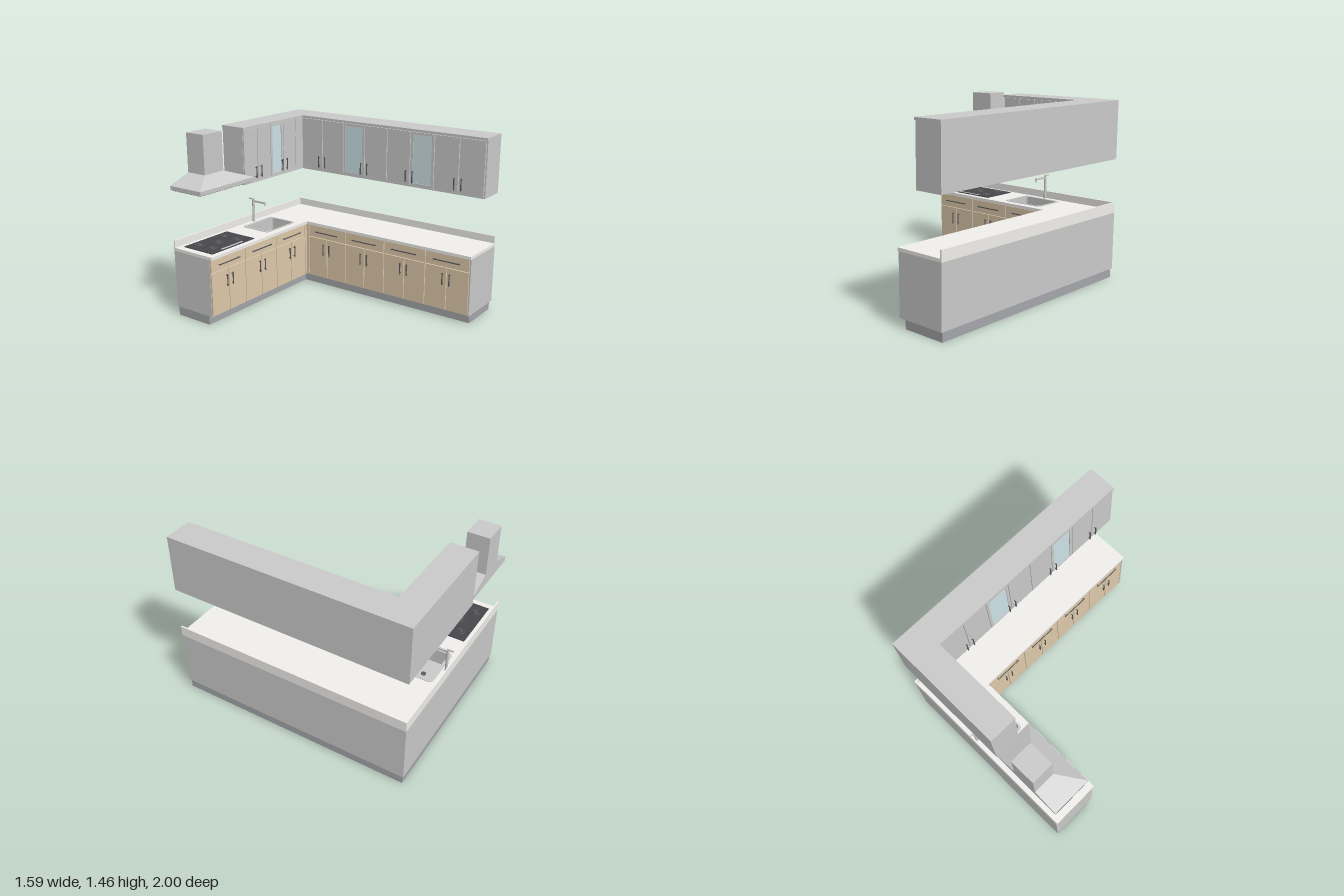
import * as THREE from 'three';

const mat = (color, extra = {}) => new THREE.MeshStandardMaterial({ color, ...extra });
const GREY = mat(0xcccccc), WOOD = mat(0xe0cbac), STONE = mat(0xf2f1ee), KICK = mat(0xa6a7ab);
const DARK = mat(0x5c5c5e), BLACK = mat(0x48484c), GLASS = mat(0xd0e4ea);

function add(parent, name, geometry, material = GREY) {
  const mesh = new THREE.Mesh(geometry, material);
  mesh.name = name;
  parent.add(mesh);
  return mesh;
}

// Box given by its limits on each axis
function box(parent, name, x0, x1, y0, y1, z0, z1, material) {
  const g = new THREE.BoxGeometry(x1 - x0, y1 - y0, z1 - z0);
  g.translate((x0 + x1) / 2, (y0 + y1) / 2, (z0 + z1) / 2);
  return add(parent, name, g, material);
}

// Rounded rectangle in plan, drawn with y = -z
function roundRect(x0, x1, z0, z1, r, Type = THREE.Shape) {
  const s = new Type();
  s.absarc(x1 - r, -z0 - r, r, 0, Math.PI / 2);
  s.absarc(x0 + r, -z0 - r, r, Math.PI / 2, Math.PI);
  s.absarc(x0 + r, -z1 + r, r, Math.PI, Math.PI * 1.5);
  s.absarc(x1 - r, -z1 + r, r, Math.PI * 1.5, Math.PI * 2);
  s.closePath();
  return s;
}

// Plan outline raised from y0 to y1
function slab(parent, name, shape, y0, y1, material) {
  const g = new THREE.ExtrudeGeometry(shape, { depth: y1 - y0, bevelEnabled: false, curveSegments: 6 });
  g.rotateX(-Math.PI / 2).translate(0, y0, 0);
  return add(parent, name, g, material);
}

// L-shaped plan: back run from x0 to x1, right run from xi to x1
function lShape(x0, xi, x1, zBack, zi, zFront) {
  return new THREE.Shape([[x0, zBack], [x0, zi], [xi, zi], [xi, zFront], [x1, zFront], [x1, zBack]]
    .map(([x, z]) => new THREE.Vector2(x, -z)));
}

// Bar handle on two posts, standing off a front at z
function handle(parent, x, y, length, z, vertical) {
  const g = new THREE.Group();
  g.name = 'handle';
  box(g, 'handleBar', -length / 2, length / 2, -0.004, 0.004, 0.012, 0.018, DARK);
  for (const s of [-1, 1]) {
    const p = s * (length / 2 - 0.012);
    box(g, 'handlePost', p - 0.003, p + 0.003, -0.003, 0.003, 0, 0.013, DARK);
  }
  if (vertical) g.rotation.z = Math.PI / 2;
  g.position.set(x, y, z);
  parent.add(g);
}

const GAP = 0.003, THICK = 0.014;
function panel(parent, name, x0, x1, y0, y1, z, material) {
  box(parent, name, x0 + GAP, x1 - GAP, y0 + GAP, y1 - GAP, z, z + THICK, material);
}

// Base unit: one drawer above two doors
function baseUnit(parent, x0, x1, z) {
  const c = (x0 + x1) / 2;
  panel(parent, 'drawerFront', x0, x1, 0.435, 0.544, z, WOOD);
  handle(parent, c, 0.49, 0.235, z + THICK, false);
  panel(parent, 'baseDoor', x0, c, 0.078, 0.435, z, WOOD);
  panel(parent, 'baseDoor', c, x1, 0.078, 0.435, z, WOOD);
  for (const s of [-1, 1]) handle(parent, c + s * 0.031, 0.34, 0.1, z + THICK, true);
}

// Wall door, plain or glazed; side tells which edge holds the handle
function wallDoor(parent, x0, x1, z, side, glazed) {
  const y0 = 0.995, y1 = 1.435, f = 0.025;
  if (glazed) {
    panel(parent, 'doorStile', x0, x0 + f + GAP, y0, y1, z);
    panel(parent, 'doorStile', x1 - f - GAP, x1, y0, y1, z);
    for (const y of [y0, y1 - f]) box(parent, 'doorRail', x0 + f, x1 - f, y + GAP, y + f - GAP, z, z + THICK);
    box(parent, 'glassPane', x0 + f, x1 - f, y0 + f - GAP, y1 - f + GAP, z + 0.003, z + 0.008, GLASS);
  } else panel(parent, 'wallDoor', x0, x1, y0, y1, z);
  handle(parent, side > 0 ? x1 - 0.031 : x0 + 0.031, 1.07, 0.1, z + THICK, true);
}

function buildBase(root) {
  const g = new THREE.Group();
  g.name = 'baseCabinets';
  root.add(g);
  const sinkHole = () => roundRect(-0.062, 0.277, -0.902, -0.65, 0.03, THREE.Path);

  slab(g, 'plinth', lShape(-0.79, 0.43, 0.78, -0.975, -0.64, 0.985), 0, 0.075, KICK);
  const carcass = lShape(-0.795, 0.4, 0.79, -0.985, -0.605, 1);
  carcass.holes.push(sinkHole());
  slab(g, 'baseCarcass', carcass, 0.075, 0.545);
  const top = lShape(-0.797, 0.375, 0.79, -0.985, -0.58, 1);
  top.holes.push(sinkHole());
  slab(g, 'countertop', top, 0.545, 0.57, STONE);
  slab(g, 'backsplash', lShape(-0.797, 0.778, 0.79, -0.985, -0.973, 1), 0.57, 0.63, STONE);

  // Back run fronts
  for (let i = 0; i < 3; i++) baseUnit(g, -0.795 + i * 0.385, -0.41 + i * 0.385, -0.605);
  panel(g, 'cornerFiller', 0.36, 0.4, 0.078, 0.544, -0.605, WOOD);

  // Right run fronts, turned to face -x
  const side = new THREE.Group();
  side.name = 'sideFronts';
  side.rotation.y = -Math.PI / 2;
  g.add(side);
  for (let i = 0; i < 4; i++) baseUnit(side, -0.565 + i * 0.388, -0.177 + i * 0.388, -0.4);
  panel(side, 'cornerFiller', -0.594, -0.565, 0.078, 0.544, -0.4, WOOD);
  box(side, 'endPanel', 0.988, 1, 0.075, 0.545, -0.4, -0.386);
}

function buildWallCabinets(root) {
  const g = new THREE.Group();
  g.name = 'wallCabinets';
  root.add(g);
  slab(g, 'wallCarcass', lShape(-0.2, 0.565, 0.79, -0.985, -0.775, 0.998), 0.995, 1.435);
  slab(g, 'cornice', lShape(-0.206, 0.55, 0.79, -0.985, -0.757, 1), 1.435, 1.455);
  slab(g, 'lightRail', lShape(-0.2, 0.56, 0.787, -0.98, -0.766, 0.997), 0.983, 0.995);

  wallDoor(g, -0.2, -0.035, -0.775, 1, false);
  wallDoor(g, -0.035, 0.13, -0.775, -1, false);
  wallDoor(g, 0.13, 0.295, -0.775, 1, true);
  wallDoor(g, 0.295, 0.46, -0.775, -1, false);
  panel(g, 'cornerFiller', 0.46, 0.565, 0.995, 1.435, -0.775);

  const side = new THREE.Group();
  side.name = 'sideWallDoors';
  side.rotation.y = -Math.PI / 2;
  g.add(side);
  for (let i = 0; i < 4; i++) {
    const x = -0.757 + i * 0.437, c = x + 0.2185;
    wallDoor(side, x, c, -0.565, 1, i === 1);
    wallDoor(side, c, x + 0.437, -0.565, -1, i === 2);
  }
}

function buildHood(root) {
  const g = new THREE.Group();
  g.name = 'rangeHood';
  root.add(g);
  box(g, 'hoodRim', -0.797, -0.203, 1.037, 1.07, -0.985, -0.66);
  box(g, 'hoodFilter', -0.785, -0.215, 1.031, 1.037, -0.975, -0.672, BLACK);
  box(g, 'chimney', -0.603, -0.397, 1.14, 1.455, -0.985, -0.805);
  // Canopy: a box whose top edges draw in to the chimney
  const c = new THREE.BoxGeometry(1, 1, 1).toNonIndexed();
  const p = c.attributes.position;
  for (let i = 0; i < p.count; i++) {
    const up = p.getY(i) > 0;
    p.setXYZ(i, -0.5 + Math.sign(p.getX(i)) * (up ? 0.103 : 0.297), up ? 1.14 : 1.07,
      p.getZ(i) < 0 ? -0.985 : up ? -0.805 : -0.66);
  }
  c.computeVertexNormals();
  add(g, 'canopy', c);
}

function buildCooktop(root) {
  const g = new THREE.Group();
  g.name = 'cooktop';
  root.add(g);
  box(g, 'cooktopPlate', -0.74, -0.26, 0.57, 0.576, -0.93, -0.625, BLACK);
  box(g, 'controlStrip', -0.62, -0.38, 0.576, 0.578, -0.653, -0.635);
  const burners = [[-0.64, -0.86, 0.035], [-0.36, -0.86, 0.03], [-0.64, -0.72, 0.03], [-0.36, -0.72, 0.035], [-0.5, -0.79, 0.042]];
  for (const [x, z, r] of burners) {
    add(g, 'burnerRing', new THREE.TorusGeometry(r, 0.003, 6, 24).rotateX(Math.PI / 2), DARK).position.set(x, 0.577, z);
    add(g, 'burnerCap', new THREE.CylinderGeometry(r * 0.5, r * 0.55, 0.006, 20), DARK).position.set(x, 0.579, z);
  }
}

function buildSink(root) {
  const g = new THREE.Group();
  g.name = 'sink';
  root.add(g);
  const ring = roundRect(-0.075, 0.29, -0.925, -0.64, 0.03);
  ring.holes.push(roundRect(-0.058, 0.273, -0.898, -0.654, 0.028, THREE.Path));
  slab(g, 'sinkRim', ring, 0.57, 0.574);
  const wall = roundRect(-0.062, 0.277, -0.902, -0.65, 0.03);
  wall.holes.push(roundRect(-0.058, 0.273, -0.898, -0.654, 0.028, THREE.Path));
  slab(g, 'basinWall', wall, 0.45, 0.57);
  slab(g, 'basinFloor', roundRect(-0.062, 0.277, -0.902, -0.65, 0.03), 0.445, 0.45);
  add(g, 'drain', new THREE.CylinderGeometry(0.02, 0.02, 0.004, 20), DARK).position.set(0.107, 0.451, -0.776);

  // Tap
  add(g, 'tapColumn', new THREE.CylinderGeometry(0.011, 0.011, 0.195, 20)).position.set(0.108, 0.6675, -0.955);
  box(g, 'tapSpout', 0.1, 0.116, 0.746, 0.76, -0.955, -0.82);
  add(g, 'tapOutlet', new THREE.CylinderGeometry(0.006, 0.006, 0.02, 16)).position.set(0.108, 0.738, -0.828);
  box(g, 'tapLever', 0.103, 0.113, 0.765, 0.775, -1, -0.946);
}

export function createModel() {
  const root = new THREE.Group();
  root.name = 'cornerKitchen';
  buildBase(root);
  buildWallCabinets(root);
  buildHood(root);
  buildCooktop(root);
  buildSink(root);
  return root;
}
